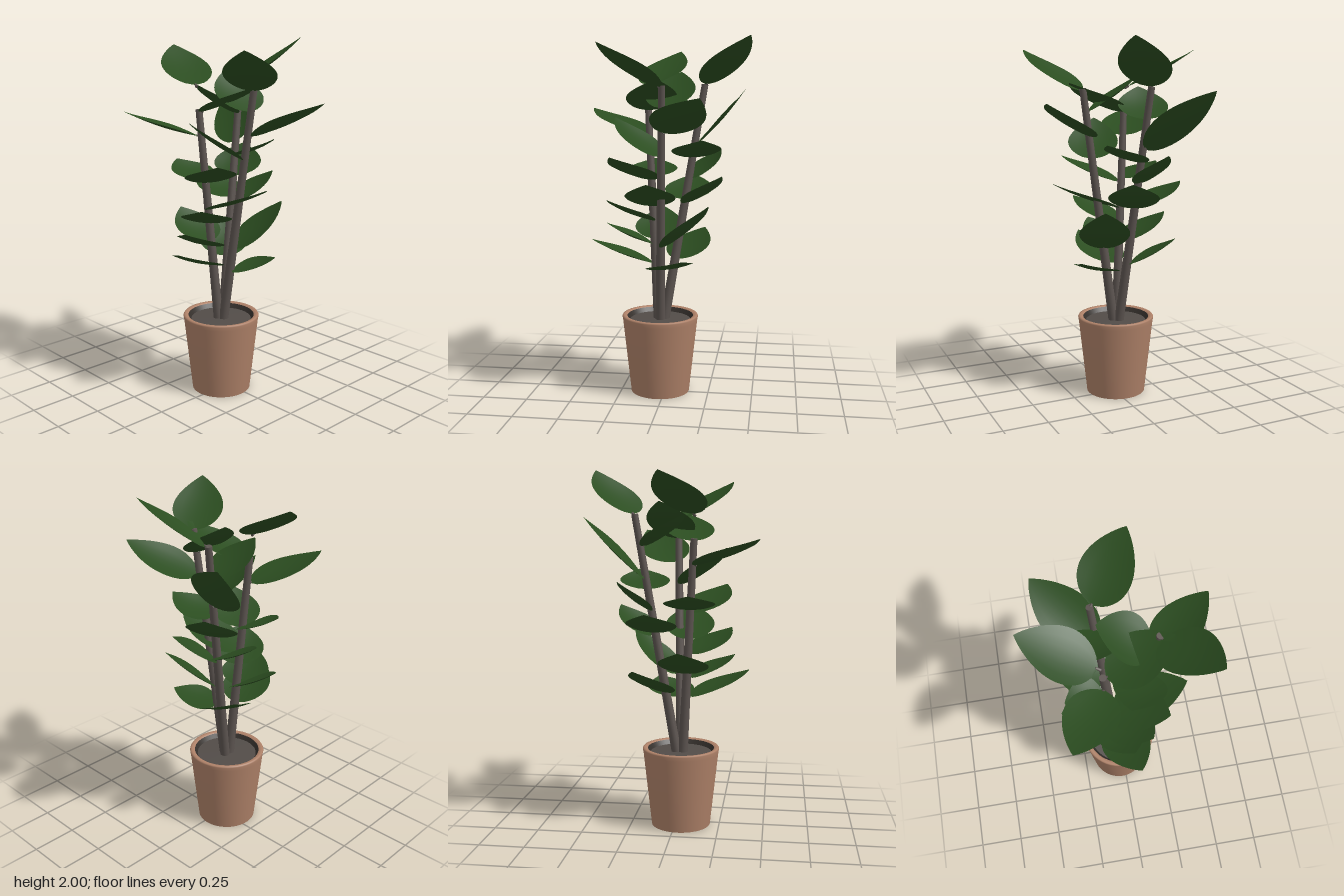
import * as THREE from 'three';

const mat = (name, color, side = THREE.FrontSide) => {
  const m = new THREE.MeshStandardMaterial({ color, side });
  m.name = name;
  return m;
};

const BASE_X = -0.023, BASE_Z = 0.03;
const LEAF_WIDTH = 0.272;
const UP = new THREE.Vector3(0, 1, 0);

// Stem ends: bottom in the soil, top among the leaves
const STEMS = [
  [[-0.03, 0.38, 0.012], [-0.12, 1.75, -0.21]],
  [[-0.03, 0.38, 0.04], [-0.11, 1.62, 0.11]],
  [[-0.012, 0.38, 0.028], [0.19, 1.74, -0.01]],
].map(s => s.map(p => new THREE.Vector3(...p)));

// Leaves: stem index, height on the stem, tip [x, y, z], optional roll
const LEAVES = [
  [0, 1.4, [-0.39, 1.73, -0.425], 0.55],
  [0, 1.74, [0.105, 2.0, -0.47]],
  [0, 1.57, [-0.18, 1.75, 0.07]],
  [0, 1.34, [0.14, 1.45, -0.22]],
  [0, 1.22, [-0.18, 1.39, -0.3]],
  [0, 1.08, [0.04, 1.25, -0.32]],
  [0, 1.1, [-0.35, 1.23, -0.125]],
  [0, 0.76, [-0.285, 0.92, -0.2]],
  [1, 1.74, [-0.485, 1.955, -0.03]],
  [1, 1.47, [-0.31, 1.62, 0.47]],
  [1, 1.6, [0.26, 1.77, 0.01]],
  [1, 1.21, [0.21, 1.36, 0.27]],
  [1, 1.23, [-0.315, 1.325, 0.1]],
  [1, 1.06, [0.35, 1.23, 0.05]],
  [1, 0.98, [0.125, 1.12, 0.305]],
  [1, 0.87, [-0.345, 1.03, 0.05]],
  [1, 0.85, [0.02, 0.98, 0.33]],
  [1, 0.74, [0.05, 0.89, 0.41]],
  [2, 1.72, [0.42, 1.95, 0.29]],
  [2, 1.61, [-0.11, 1.82, -0.08]],
  [2, 1.48, [0.48, 1.67, -0.24], 0.26],
  [2, 1.35, [0.0, 1.57, 0.28]],
  [2, 0.84, [0.17, 1.1, -0.26]],
  [2, 0.72, [0.25, 0.81, -0.13]],
];

// Leaf blade along +z, slightly cupped, round at the base and pointed at the tip
function bladeGeometry(length) {
  const g = new THREE.PlaneGeometry(2, 1, 6, 22);
  const p = g.attributes.position;
  for (let i = 0; i < p.count; i++) {
    const t = THREE.MathUtils.clamp(0.5 - p.getY(i), 0, 1);
    const x = p.getX(i) * LEAF_WIDTH / 2 * 2.93 * Math.pow(t, 0.63) * Math.pow(1 - t, 0.93);
    p.setXYZ(i, x, x * x - 0.015 * Math.sin(Math.PI * t), t * length);
  }
  g.computeVertexNormals();
  return g;
}

// Tapered round rod between two points
function rod(a, b, r0, r1, sides, material) {
  const d = b.clone().sub(a);
  const m = new THREE.Mesh(new THREE.CylinderGeometry(r1, r0, d.length(), sides), material);
  m.position.copy(a).addScaledVector(d, 0.5);
  m.quaternion.setFromUnitVectors(UP, d.normalize());
  return m;
}

// Turned part centred on the pot axis
function turned(name, points, material) {
  const m = new THREE.Mesh(new THREE.LatheGeometry(points.map(p => new THREE.Vector2(...p)), 48), material);
  m.name = name;
  m.position.set(BASE_X, 0, BASE_Z);
  return m;
}

export function createModel() {
  const plant = new THREE.Group();
  plant.name = 'pottedPlant';
  const clay = mat('clay', 0xae8168);
  const earth = mat('soil', 0x524c48);
  const shade = mat('darkLining', 0x35302c);
  const bark = mat('bark', 0x5c5450);
  const green = mat('leafGreen', 0x2b4d20, THREE.DoubleSide);

  // Pot: tapered wall, hollow foot and rounded rim
  plant.add(turned('pot', [
    [0, 0.04], [0.145, 0.04], [0.155, 0], [0.167, 0], [0.213, 0.42],
    [0.217, 0.442], [0.213, 0.449], [0.205, 0.45], [0.195, 0.449], [0.188, 0.444],
  ], clay));

  // Dark inner wall and soil just below the rim
  plant.add(turned('innerWall', [[0.188, 0.444], [0.17, 0.415]], shade));
  plant.add(turned('soil', [[0.172, 0.42], [0, 0.426]], earth));

  // Three leaning stems
  STEMS.forEach(([a, b]) => {
    const stem = rod(a, b, 0.028, 0.019, 14, bark);
    stem.name = 'stem';
    plant.add(stem);
  });

  // Leaves, each on a short stalk
  for (const [s, y, end, roll = 0] of LEAVES) {
    const [a, b] = STEMS[s];
    const root = a.clone().lerp(b, (y - a.y) / (b.y - a.y));
    const tip = new THREE.Vector3(...end);
    const start = root.clone().lerp(tip, 0.04);
    const dir = tip.clone().sub(start);
    const length = dir.length();
    dir.normalize();
    const side = UP.clone().cross(dir).normalize();
    const normal = dir.clone().cross(side);

    const leaf = new THREE.Mesh(bladeGeometry(length), green);
    leaf.name = 'leaf';
    leaf.position.copy(start);
    leaf.quaternion.setFromRotationMatrix(new THREE.Matrix4().makeBasis(side, normal, dir));
    leaf.rotateZ(-roll);
    plant.add(leaf);

    const stalk = rod(root, start.clone().addScaledVector(dir, 0.01), 0.008, 0.006, 6, bark);
    stalk.name = 'leafStalk';
    plant.add(stalk);
  }
  return plant;
}
